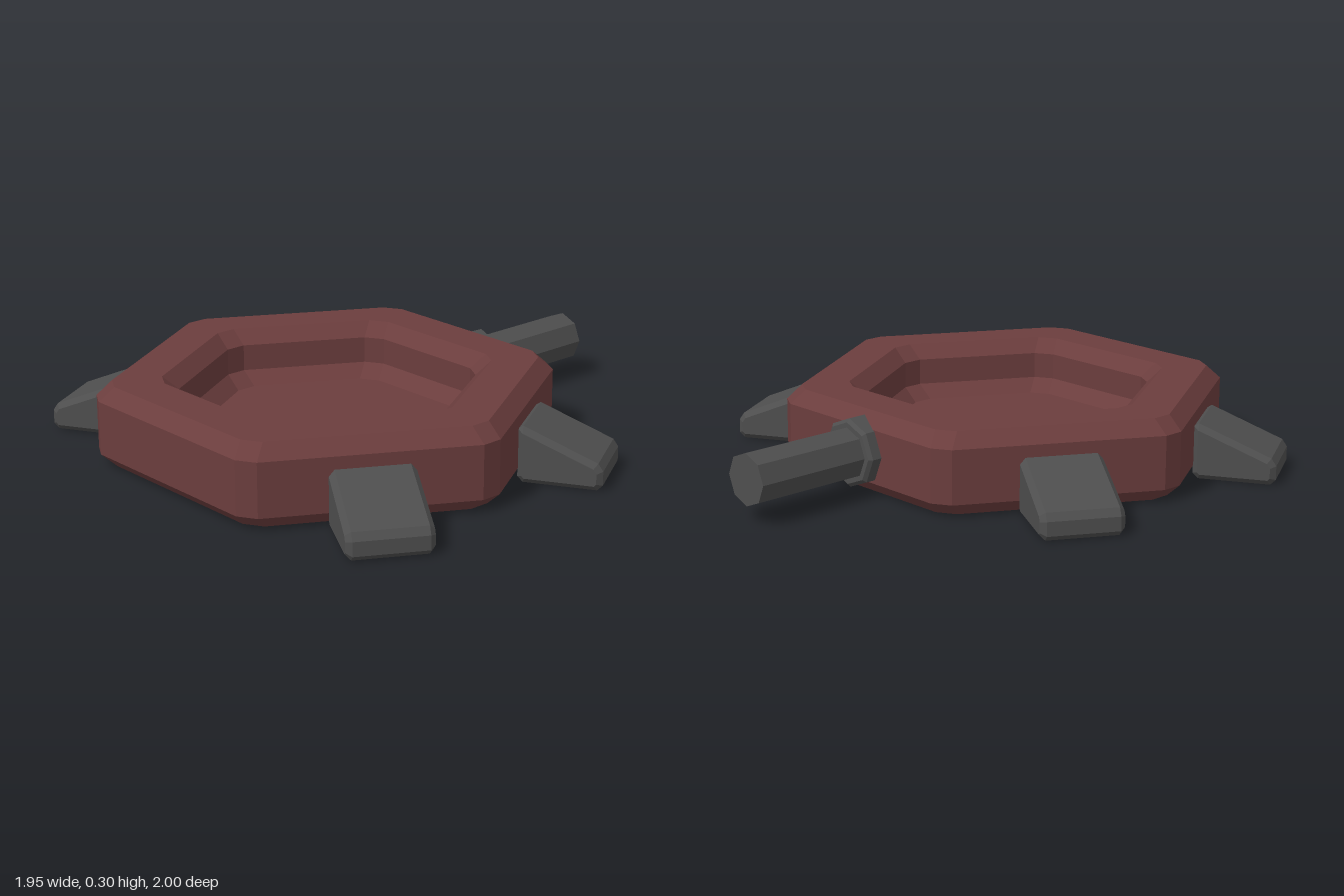
import * as THREE from 'three';

const CENTER_Z = 0.25;
const red = new THREE.MeshStandardMaterial({ color: 0x6b3d3d, flatShading: true });
const grey = new THREE.MeshStandardMaterial({ color: 0x4e4e4e, flatShading: true });

// Cut every corner of a polygon at distance d along both edges
function chamfer(points, d) {
  const out = [];
  points.forEach((p, i) => {
    const prev = points.at(i - 1), next = points[(i + 1) % points.length];
    for (const q of [prev, next]) {
      const dir = q.clone().sub(p);
      out.push(p.clone().addScaledVector(dir.normalize(), d));
    }
  });
  return out;
}

// Hexagon with cut corners, flat sides facing +z and -z
function hexRing(apothem) {
  const r = apothem / Math.cos(Math.PI / 6);
  const corners = Array.from({ length: 6 }, (_, i) =>
    new THREE.Vector2(Math.cos(i * Math.PI / 3) * r, Math.sin(i * Math.PI / 3) * r));
  return chamfer(corners, Math.min(0.045, apothem));
}

// Tray: hexagonal rings swept through a profile of [apothem, height]
function trayGeometry() {
  const profile = [
    [0, 0], [0.697, 0], [0.747, 0.05], [0.747, 0.25], [0.697, 0.302],
    [0.542, 0.302], [0.49, 0.25], [0.49, 0.15], [0.438, 0.1], [0, 0.1],
  ];
  const n = 12, position = [], index = [];
  for (const [a, y] of profile) {
    for (const p of hexRing(a)) position.push(p.x, y, p.y);
  }
  for (let i = 0; i < profile.length - 1; i++) {
    for (let j = 0; j < n; j++) {
      const k = (j + 1) % n;
      const a = i * n + j, b = i * n + k, c = b + n, d = a + n;
      if (i > 0) index.push(a, d, b);
      if (i < profile.length - 2) index.push(d, c, b);
      else index.push(a, d, b);
      if (i === 0) continue;
    }
  }
  const indexed = new THREE.BufferGeometry();
  indexed.setAttribute('position', new THREE.Float32BufferAttribute(position, 3));
  indexed.setIndex(index);
  const geometry = indexed.toNonIndexed();
  geometry.computeVertexNormals();
  return geometry;
}

// Foot: sloping wedge with bevelled edges, pointing along +x
function footGeometry() {
  const outline = [[0.745, 0], [1.052, 0], [1.052, 0.092], [0.745, 0.218]]
    .map(([x, y]) => new THREE.Vector2(x, y));
  const geometry = new THREE.ExtrudeGeometry(new THREE.Shape(chamfer(outline, 0.02)), {
    depth: 0.26, bevelEnabled: true, bevelSegments: 1,
    bevelSize: 0.02, bevelThickness: 0.02, bevelOffset: -0.02,
  });
  return geometry.translate(0, 0, -0.13);
}

// Eight-sided turned part lying along -z
function turnedMesh(name, profile) {
  const points = profile.map(([r, t]) => new THREE.Vector2(r, t));
  const mesh = new THREE.Mesh(new THREE.LatheGeometry(points, 8).rotateX(-Math.PI / 2), grey);
  mesh.position.y = 0.156;
  mesh.name = name;
  return mesh;
}

export function createModel() {
  const model = new THREE.Group();
  model.name = 'hexagonalTray';

  const tray = new THREE.Mesh(trayGeometry(), red);
  tray.name = 'tray';
  tray.position.z = CENTER_Z;
  model.add(tray);

  // Four feet on the slanted sides
  const footShape = footGeometry();
  const feet = { frontLeftFoot: -30, backLeftFoot: 30, backRightFoot: 150, frontRightFoot: 210 };
  for (const [name, degrees] of Object.entries(feet)) {
    const foot = new THREE.Mesh(footShape, grey);
    foot.name = name;
    foot.position.z = CENTER_Z;
    foot.rotation.y = THREE.MathUtils.degToRad(degrees);
    model.add(foot);
  }

  // Handle at the back with its collar
  model.add(turnedMesh('handleCollar',
    [[0, 0.44], [0.115, 0.44], [0.128, 0.453], [0.128, 0.536], [0.115, 0.548], [0, 0.548]]));
  model.add(turnedMesh('handle', [[0, 0.5], [0.096, 0.5], [0.096, 1], [0, 1]]));
  return model;
}
